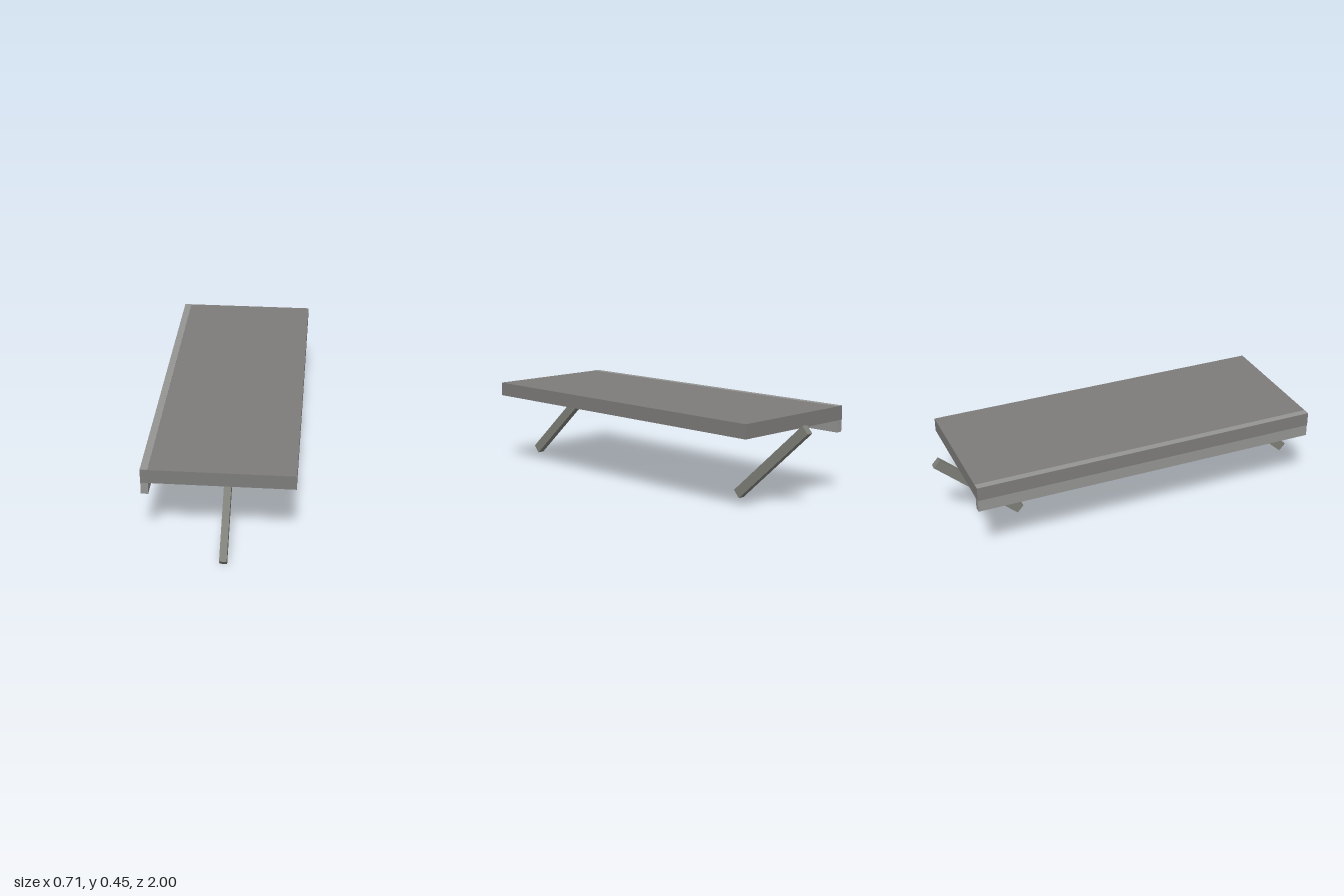
import * as THREE from 'three';

export function createModel() {
  const group = new THREE.Group();
  const makeMaterial = (color) => new THREE.MeshStandardMaterial({ color, flatShading: true });
  const boardMaterial = makeMaterial(0x7d7c7a);
  const lipMaterial = makeMaterial(0x949493);
  const legMaterial = makeMaterial(0x7f7f79);

  const addBox = (name, material, size, position) => {
    const mesh = new THREE.Mesh(new THREE.BoxGeometry(...size), material);
    mesh.name = name;
    mesh.position.set(...position);
    group.add(mesh);
    return mesh;
  };

  // Flat top
  addBox('board', boardMaterial, [0.714, 0.07, 1.784], [0, 0.415, 0]);

  // Lighter lip set into the right edge: flush strip on top, hanging below
  addBox('edgeLip', lipMaterial, [0.035, 0.131, 1.782], [-0.339, 0.3855, 0]);

  // Two parallel slanted legs, feet leaning towards the front
  for (const [name, z] of [['frontLeg', 0.775], ['backLeg', -0.775]]) {
    const leg = addBox(name, legMaterial, [0.035, 0.049, 0.561], [0.0295, 0.206, z]);
    leg.rotation.x = 0.733;
  }

  return group;
}
